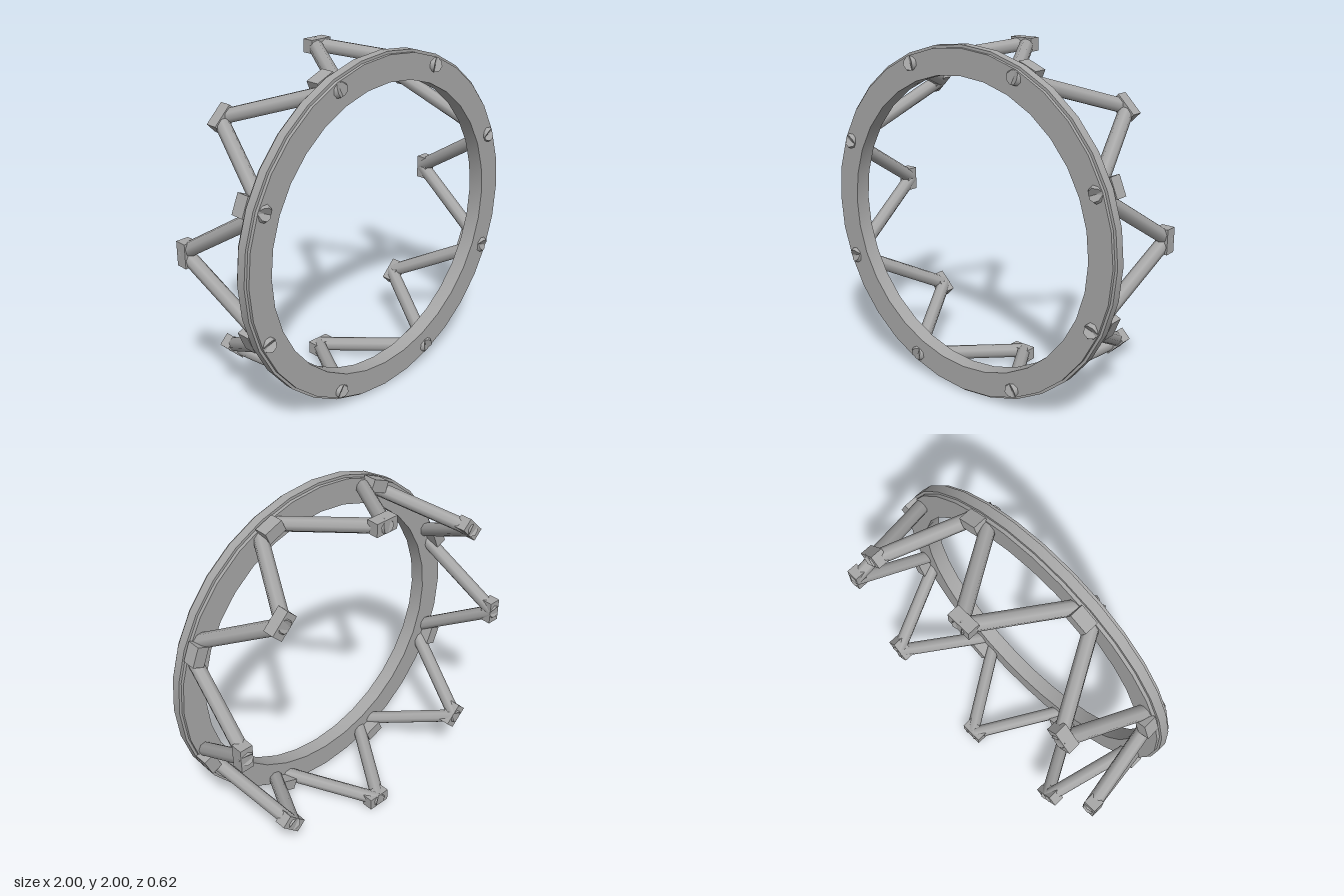
import * as THREE from 'three';
import { toCreasedNormals } from 'three/addons/utils/BufferGeometryUtils.js';

export function createModel() {
  const model = new THREE.Group();
  model.name = 'trussRing';
  const grey = new THREE.MeshStandardMaterial({ color: 0xa8a8a8 });
  grey.name = 'steel grey';

  const add = (name, geometry, parent) => {
    const mesh = new THREE.Mesh(geometry, grey);
    mesh.name = name;
    parent.add(mesh);
    return mesh;
  };

  // Point on a circle around the ring axis, angle measured from the top
  const polar = (r, angle, z) =>
    new THREE.Vector3(r * Math.sin(angle), 1 + r * Math.cos(angle), z);

  // Flat ring with a slightly raised middle band on its rim
  const profile = [
    [0.84, 0.195], [0.985, 0.195], [0.985, 0.215], [1, 0.215],
    [1, 0.268], [0.985, 0.268], [0.985, 0.287], [0.84, 0.287], [0.84, 0.195],
  ].map(([r, z]) => new THREE.Vector2(r, z));
  const ringGeometry = new THREE.LatheGeometry(profile, 32);
  ringGeometry.rotateX(Math.PI / 2);
  add('ring', toCreasedNormals(ringGeometry, 0.6), model).position.y = 1;

  // Joint blocks: eight behind the ring, eight at the free end of the truss
  const frontBlocks = new THREE.Group();
  frontBlocks.name = 'frontBlocks';
  const backBlocks = new THREE.Group();
  backBlocks.name = 'backBlocks';
  const struts = new THREE.Group();
  struts.name = 'struts';
  model.add(frontBlocks, backBlocks, struts);

  const frontBox = new THREE.BoxGeometry(0.115, 0.07, 0.08);
  const backBox = new THREE.BoxGeometry(0.14, 0.075, 0.07);
  const up = new THREE.Vector3(0, 1, 0);
  const step = Math.PI / 4;

  for (let i = 0; i < 8; i++) {
    const backAngle = i * step;
    const frontAngle = backAngle + step / 2;

    const front = add('frontBlock', frontBox, frontBlocks);
    front.position.copy(polar(0.96, frontAngle, 0.163));
    front.rotation.z = -frontAngle;

    const back = add('backBlock', backBox, backBlocks);
    back.position.copy(polar(0.952, backAngle, -0.262));
    back.rotation.z = -backAngle;

    // Two struts fan out from each back joint and poke through ring and block
    for (const side of [-1, 1]) {
      const a = polar(0.952, backAngle, -0.287);
      const b = polar(0.942, backAngle + side * step / 2, 0.287);
      const direction = b.clone().sub(a);
      const tube = new THREE.CylinderGeometry(0.041, 0.041, direction.length(), 8);
      const strut = add('strut', tube, struts);
      strut.position.copy(a).add(b).multiplyScalar(0.5);
      strut.quaternion.setFromUnitVectors(up, direction.normalize());
    }
  }

  return model;
}
